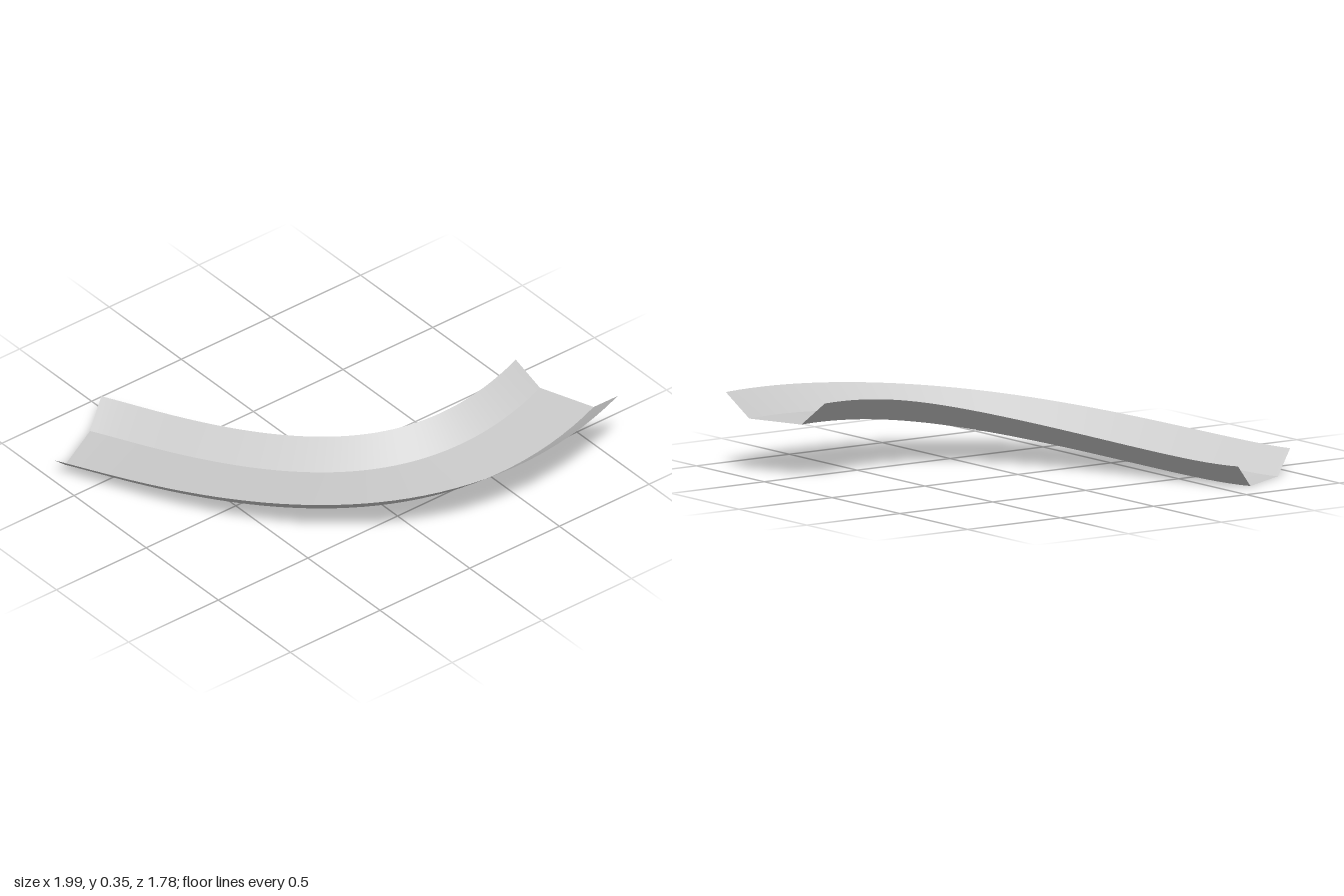
import * as THREE from 'three';

const SEGMENTS = 48;

// Centreline of the trough, rising gently around the bend
const path = new THREE.CubicBezierCurve3(
  new THREE.Vector3(-0.765, 0, -0.767),
  new THREE.Vector3(-0.577, 0, -0.414),
  new THREE.Vector3(-0.314, 0.2, 0.982),
  new THREE.Vector3(0.909, 0.25, 0.543)
);

// Cross-section corners: [offset across the path, height]
const outerRim = [0.26, 0.105];
const outerFoot = [0.137, 0];
const innerFoot = [-0.137, 0];
const innerRim = [-0.26, 0.105];

// Sweeps one straight side of the cross-section along the path
function sweepStrip(name, a, b, material) {
  const positions = [];
  const index = [];
  for (let i = 0; i <= SEGMENTS; i++) {
    const p = path.getPoint(i / SEGMENTS);
    const t = path.getTangent(i / SEGMENTS).setY(0).normalize();
    for (const [across, up] of [a, b]) {
      positions.push(p.x - t.z * across, p.y + up, p.z + t.x * across);
    }
    if (i < SEGMENTS) {
      const k = i * 2;
      index.push(k, k + 2, k + 1, k + 1, k + 2, k + 3);
    }
  }
  const geometry = new THREE.BufferGeometry();
  geometry.setAttribute('position', new THREE.Float32BufferAttribute(positions, 3));
  geometry.setIndex(index);
  geometry.computeVertexNormals();
  const mesh = new THREE.Mesh(geometry, material);
  mesh.name = name;
  return mesh;
}

export function createModel() {
  const material = new THREE.MeshStandardMaterial({ color: 0xcccccc, side: THREE.DoubleSide });
  const group = new THREE.Group();
  group.name = 'curvedTrough';
  // Separate strips keep the folds sharp while each surface stays smooth
  group.add(
    sweepStrip('outerWall', outerRim, outerFoot, material),
    sweepStrip('floor', outerFoot, innerFoot, material),
    sweepStrip('innerWall', innerFoot, innerRim, material)
  );
  return group;
}
